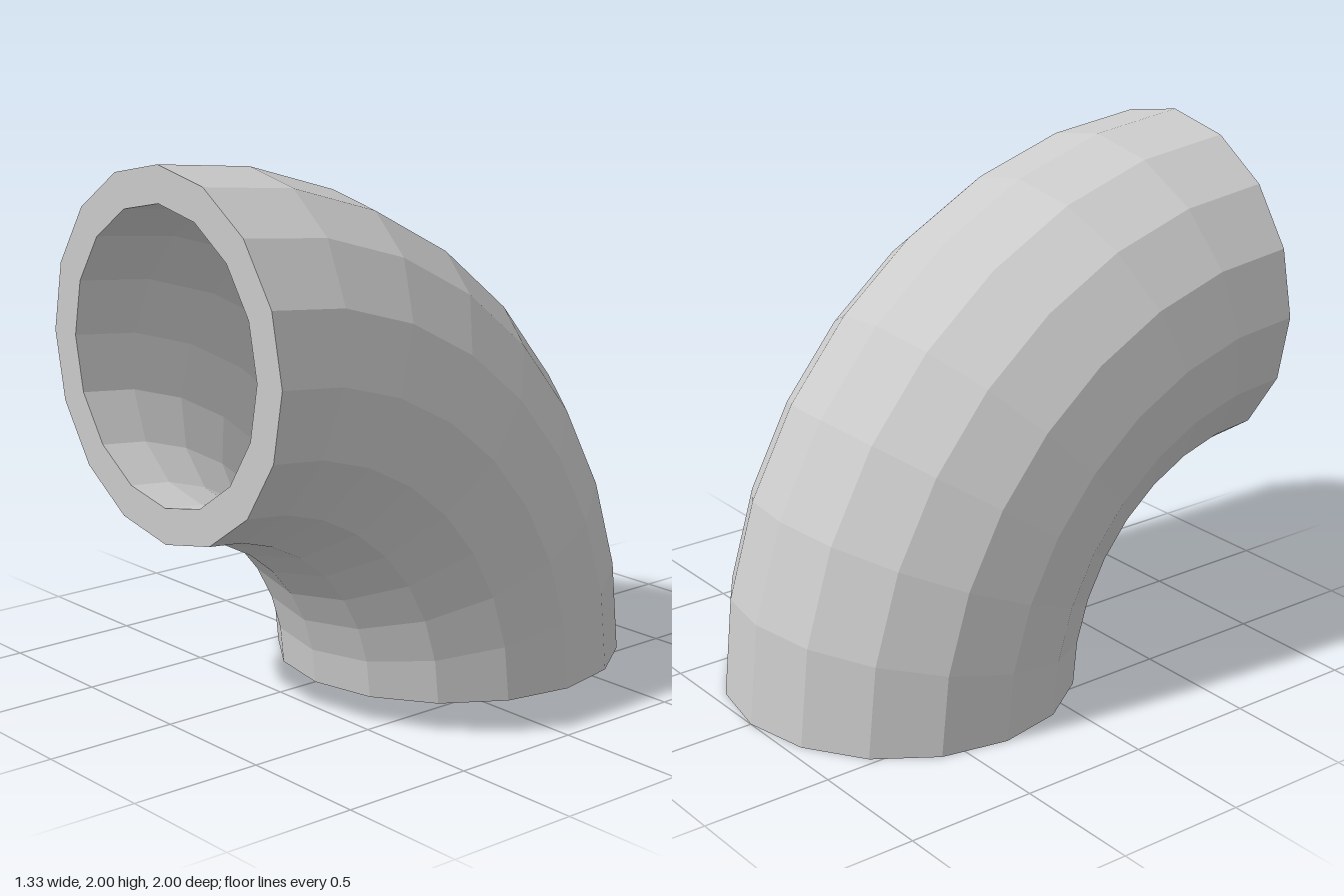
import * as THREE from 'three';

const SIDES = 16;        // facets around the pipe
const BENDS = 8;         // segments along the quarter turn
const BEND_RADIUS = 4 / 3;
const OUTER = 2 / 3;
const INNER = 0.534;

// Quarter-turn wall: a circle swept about the x axis through z = 1.
// direction 1 faces outward, -1 faces into the bore.
function bendWall(radius, direction) {
  const profile = [];
  for (let i = 0; i <= SIDES; i++) {
    const a = direction * i / SIDES * Math.PI * 2;
    profile.push(new THREE.Vector2(BEND_RADIUS + radius * Math.cos(a), radius * Math.sin(a)));
  }
  return new THREE.LatheGeometry(profile, BENDS, Math.PI / 2, Math.PI / 2)
    .rotateZ(Math.PI / 2)
    .translate(0, 0, 1);
}

export function createModel() {
  const group = new THREE.Group();
  group.name = 'pipeElbow';
  const material = new THREE.MeshStandardMaterial({ color: 0xcccccc, flatShading: true });
  const add = (name, geometry) => {
    const mesh = new THREE.Mesh(geometry, material);
    mesh.name = name;
    group.add(mesh);
  };

  add('outerWall', bendWall(OUTER, 1));
  add('innerWall', bendWall(INNER, -1));

  // Flat rims closing the wall thickness at each opening
  const rim = () => new THREE.RingGeometry(INNER, OUTER, SIDES, 1);
  add('frontRim', rim().translate(0, BEND_RADIUS, 1));
  add('bottomRim', rim().rotateX(Math.PI / 2).translate(0, 0, 1 - BEND_RADIUS));

  return group;
}
